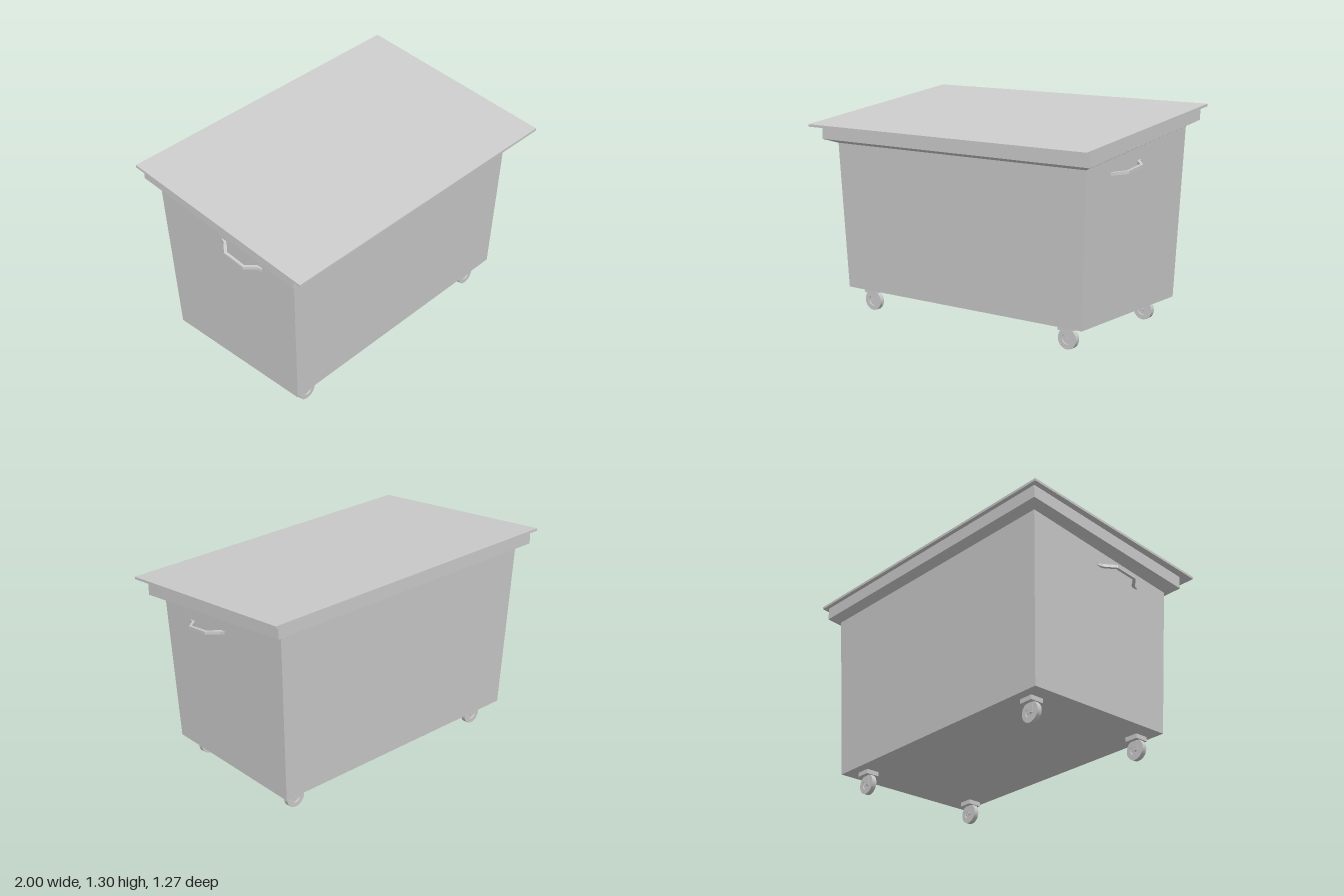
import * as THREE from 'three';

const material = new THREE.MeshStandardMaterial({ color: 0xcccccc });
const flat = new THREE.MeshStandardMaterial({ color: 0xcccccc, flatShading: true });

function addMesh(parent, name, geometry, mat = material) {
  const mesh = new THREE.Mesh(geometry, mat);
  mesh.name = name;
  parent.add(mesh);
  return mesh;
}

// Skin a stack of four-cornered rings, closing the first and last one.
function loft(rings) {
  const pos = [];
  const quad = (a, b, c, d) => [a, b, c, a, c, d].forEach((p) => pos.push(...p));
  for (let r = 0; r + 1 < rings.length; r++) {
    const lo = rings[r], hi = rings[r + 1];
    for (let i = 0; i < 4; i++) {
      const j = (i + 1) % 4;
      quad(lo[i], lo[j], hi[j], hi[i]);
    }
  }
  quad(...[...rings[0]].reverse());
  quad(...rings[rings.length - 1]);
  const g = new THREE.BufferGeometry();
  g.setAttribute('position', new THREE.Float32BufferAttribute(pos, 3));
  g.computeVertexNormals();
  return g;
}

// Rectangle whose front and back edges have their own width and height.
const ring = (xf, zf, yf, xb = xf, zb = zf, yb = yf) =>
  [[xf, yf, zf], [xb, yb, zb], [-xb, yb, zb], [-xf, yf, zf]];

// Square bar swept through points, with mitred bends in the x-z plane.
function handleGeometry() {
  const path = [[0.893, 0.247], [0.905, 0.215], [0.96, 0.166], [0.96, 0.026], [0.905, -0.035], [0.893, -0.065]]
    .map(([x, z]) => new THREE.Vector2(x, z));
  const h = 0.009;
  const rings = path.map((p, i) => {
    const dir = path[Math.min(i + 1, 5)].clone().sub(path[Math.max(i - 1, 0)]).normalize();
    const nx = -dir.y * h, nz = dir.x * h;
    const y = 1.012 - 0.13 * p.y;
    return [[p.x + nx, y + h, p.y + nz], [p.x + nx, y - h, p.y + nz],
      [p.x - nx, y - h, p.y - nz], [p.x - nx, y + h, p.y - nz]];
  });
  return loft(rings);
}

// Upside-down U plate that straddles the axle.
function forkGeometry() {
  const s = new THREE.Shape();
  [[-0.021, 0.115], [-0.021, 0.052], [-0.011, 0.052], [-0.011, 0.07], [0.011, 0.07],
    [0.011, 0.052], [0.021, 0.052], [0.021, 0.115]]
    .forEach(([x, y], i) => (i ? s.lineTo(x, y) : s.moveTo(x, y)));
  return new THREE.ExtrudeGeometry(s, { depth: 0.003, bevelEnabled: false });
}

function createCaster() {
  const caster = new THREE.Group();
  caster.name = 'caster';
  addMesh(caster, 'casterPlate', new THREE.BoxGeometry(0.086, 0.027, 0.085)).position.y = 0.1265;

  // Tyre ring with a thin recessed web in the middle
  const tyre = new THREE.Shape().absarc(0, 0, 0.061, 0, Math.PI * 2);
  tyre.holes.push(new THREE.Path().absarc(0, 0, 0.033, 0, Math.PI * 2));
  const tyreGeo = new THREE.ExtrudeGeometry(tyre, { depth: 0.03, bevelEnabled: false, curveSegments: 32 });
  addMesh(caster, 'tyre', tyreGeo.translate(0, 0.062, -0.015));
  const round = (r, len) => new THREE.CylinderGeometry(r, r, len, 24).rotateX(Math.PI / 2).translate(0, 0.062, 0);
  addMesh(caster, 'wheelWeb', round(0.034, 0.012));
  addMesh(caster, 'axle', round(0.009, 0.036));

  for (const z of [-0.018, 0.015]) addMesh(caster, 'fork', forkGeometry()).position.z = z;
  return caster;
}

export function createModel() {
  const model = new THREE.Group();
  model.name = 'wheeledBin';

  // Hollow tapered tub with a flared, sloping rim
  addMesh(model, 'tub', loft([
    ring(0.86, 0.455, 0.14, 0.86, -0.523, 0.14),
    ring(0.898, 0.487, 1.035, 0.904, -0.557, 1.176),
    ring(0.966, 0.553, 1.06, 0.966, -0.613, 1.204),
    ring(0.966, 0.553, 1.138, 0.966, -0.613, 1.281),
    ring(0.946, 0.533, 1.14, 0.946, -0.593, 1.278),
    ring(0.946, 0.533, 1.075, 0.946, -0.593, 1.214),
    ring(0.88, 0.467, 1.045, 0.886, -0.537, 1.186),
    ring(0.842, 0.437, 0.16, 0.842, -0.505, 0.16),
  ]));

  // Thin sloping lid
  addMesh(model, 'lid', loft([
    ring(1, 0.636, 1.14, 1, -0.636, 1.283),
    ring(1, 0.636, 1.155, 1, -0.636, 1.298),
  ]));

  // Side handles
  for (const side of [0, 1]) {
    const g = handleGeometry();
    if (side) {
      // Mirror across x and reverse the winding
      g.scale(-1, 1, 1);
      const p = g.attributes.position;
      g.setIndex(Array.from({ length: p.count }, (_, i) => i - (i % 3) + 2 - (i % 3)));
    }
    addMesh(model, side ? 'rightHandle' : 'leftHandle', g, flat);
  }

  // Four casters
  for (const x of [-0.722, 0.722]) {
    for (const z of [0.38, -0.422]) {
      const caster = createCaster();
      caster.position.set(x, 0, z);
      model.add(caster);
    }
  }
  return model;
}
